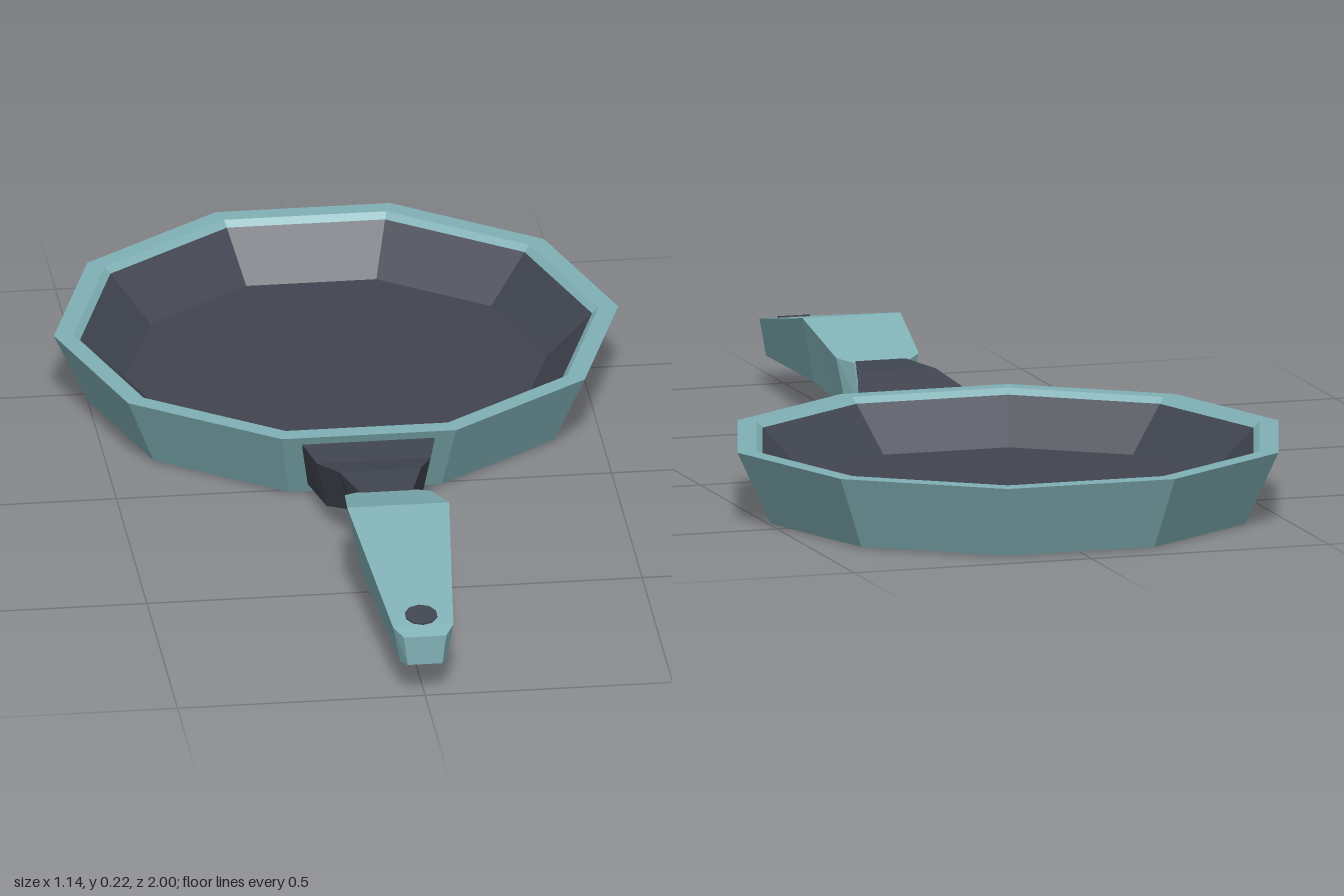
import * as THREE from 'three';

function mat(name, color) {
  const m = new THREE.MeshStandardMaterial({ color });
  m.name = name;
  return m;
}

// Faceted copy: every face gets its own normal
function faceted(geometry) {
  const g = geometry.index ? geometry.toNonIndexed() : geometry;
  g.computeVertexNormals();
  return g;
}

// Ten-sided turned shape with corners on the x axis
function turned(profile) {
  const points = profile.map(([r, y]) => new THREE.Vector2(r, y));
  return faceted(new THREE.LatheGeometry(points, 10, Math.PI / 10));
}

// Trapezoid sections along z: [zTop, zBottom, yTop, yBottom, halfTop, halfBottom]
function loft(sections) {
  const rings = sections.map(([zt, zb, yt, yb, wt, wb]) => [
    [-wb, yb, zb], [wb, yb, zb], [wt, yt, zt], [-wt, yt, zt],
  ]);
  const pos = [];
  const quad = (a, b, c, d) => pos.push(...a, ...b, ...c, ...a, ...c, ...d);
  for (let i = 0; i < rings.length - 1; i++) {
    const p = rings[i], q = rings[i + 1];
    for (let j = 0; j < 4; j++) {
      const k = (j + 1) % 4;
      quad(p[j], p[k], q[k], q[j]);
    }
  }
  const first = rings[0], last = rings[rings.length - 1];
  quad(first[3], first[2], first[1], first[0]);
  quad(last[0], last[1], last[2], last[3]);
  const g = new THREE.BufferGeometry();
  g.setAttribute('position', new THREE.Float32BufferAttribute(pos, 3));
  return faceted(g);
}

export function createModel() {
  const teal = mat('teal enamel', 0x80b0b5);
  const dark = mat('dark iron', 0x414550);
  const grey = mat('base grey', 0x9ca6b4);
  const model = new THREE.Group();
  model.name = 'fryingPan';

  const add = (name, geometry, material, x = 0, y = 0, z = 0) => {
    const mesh = new THREE.Mesh(geometry, material);
    mesh.name = name;
    mesh.position.set(x, y, z);
    model.add(mesh);
    return mesh;
  };

  // Pan: outer shell with rim, dark cooking surface, base disc
  const panZ = -0.458;
  add('panShell', turned([[0, 0.003], [0.5, 0.003], [0.57, 0.152], [0.53, 0.152], [0.517, 0.14]]), teal, 0, 0, panZ);
  add('cookingSurface', turned([[0.517, 0.14], [0.425, 0.05], [0, 0.05]]), dark, 0, 0, panZ);
  add('baseDisc', new THREE.CylinderGeometry(0.4, 0.4, 0.004, 32), grey, 0, 0.002, panZ);

  // Neck rising from the pan wall to the handle
  add('neck', loft([
    [0.05, -0.005, 0.135, 0.02, 0.14, 0.122],
    [0.16, 0.16, 0.13, 0.035, 0.115, 0.095],
    [0.265, 0.265, 0.157, 0.075, 0.082, 0.065],
    [0.375, 0.375, 0.16, 0.08, 0.052, 0.042],
  ]), dark);

  // Handle with a humped top, tapering to the tip
  add('handle', loft([
    [0.365, 0.365, 0.158, 0.07, 0.058, 0.045],
    [0.39, 0.39, 0.165, 0.062, 0.087, 0.066],
    [0.56, 0.57, 0.217, 0.085, 0.103, 0.077],
    [0.97, 0.97, 0.14, 0.064, 0.061, 0.047],
    [1.0, 1.0, 0.13, 0.069, 0.043, 0.035],
  ]), teal);

  // Hanging hole, a thin plate lying on the sloping top
  const hole = add('hangingHole', new THREE.CylinderGeometry(0.033, 0.033, 0.006, 10), dark, 0, 0.1466, 0.935);
  hole.rotation.x = 0.186;

  return model;
}
